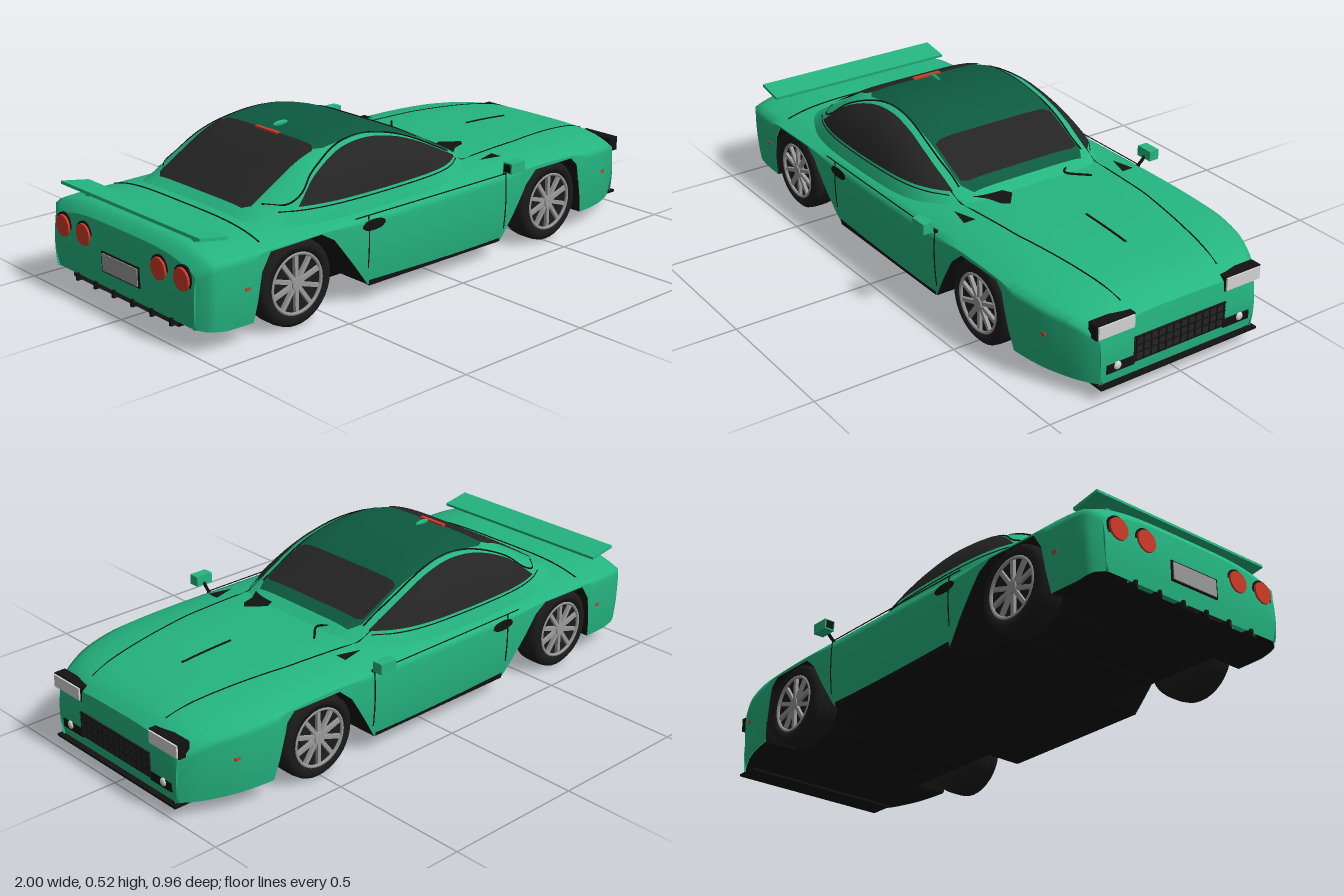
import * as THREE from 'three';

const mat = (name, color) => {
  const m = new THREE.MeshStandardMaterial({ color, side: THREE.DoubleSide });
  m.name = name;
  return m;
};

// Interpolates a small table of [x, value] pairs, straight or eased by neighbouring slopes
function table(pts, smooth = true) {
  const slope = (i) => {
    const a = pts[Math.max(i - 1, 0)], b = pts[Math.min(i + 1, pts.length - 1)];
    return (b[1] - a[1]) / (b[0] - a[0]);
  };
  return (x) => {
    let i = 0;
    while (i < pts.length - 2 && x > pts[i + 1][0]) i++;
    const [x0, y0] = pts[i], [x1, y1] = pts[i + 1], d = x1 - x0;
    const t = Math.min(Math.max((x - x0) / d, 0), 1);
    if (!smooth) return y0 + (y1 - y0) * t;
    const t2 = t * t, t3 = t2 * t;
    return (2 * t3 - 3 * t2 + 1) * y0 + (t3 - 2 * t2 + t) * d * slope(i)
      + (3 * t2 - 2 * t3) * y1 + (t3 - t2) * d * slope(i + 1);
  };
}

// Grid surface: fn(u, v) gives a point for u, v in 0..1
function sheet(nu, nv, fn) {
  const pos = [], idx = [];
  for (let i = 0; i <= nu; i++) for (let j = 0; j <= nv; j++) {
    pos.push(...fn(i / nu, j / nv));
    if (i < nu && j < nv) {
      const a = i * (nv + 1) + j, b = a + nv + 1;
      idx.push(a, a + 1, b, b, a + 1, b + 1);
    }
  }
  const g = new THREE.BufferGeometry();
  g.setAttribute('position', new THREE.Float32BufferAttribute(pos, 3));
  g.setIndex(idx);
  g.computeVertexNormals();
  return g;
}

const lerp = THREE.MathUtils.lerp;
const X0 = -0.985, X1 = 0.98;

// Body shape rules: half width, deck height, lower edge with wheel arches
const halfW = table([[X0, 0.37], [-0.97, 0.397], [-0.93, 0.413], [-0.75, 0.42], [0.65, 0.42],
  [0.8, 0.398], [0.9, 0.358], [0.95, 0.33], [X1, 0.305]]);
const deck = table([[X0, 0.29], [-0.97, 0.315], [-0.92, 0.325], [-0.7, 0.326], [0.25, 0.335],
  [0.5, 0.335], [0.7, 0.325], [0.86, 0.305], [0.94, 0.28], [X1, 0.25]]);
const edgePts = [[X0, 0.075], [-0.9, 0.06], [-0.8, 0.06], [-0.775, 0.22], [-0.74, 0.275], [-0.54, 0.28],
  [-0.49, 0.25], [-0.34, 0.06], [0.27, 0.055], [0.38, 0.235], [0.43, 0.278], [0.615, 0.278],
  [0.645, 0.25], [0.69, 0.06], [0.9, 0.05], [X1, 0.05]];
const edge = table(edgePts, false);
const sideZ = (x, y) => halfW(x) * (1 - 0.04 * ((y - 0.22) / 0.18) ** 2);
const topY = (x, z) => deck(x) - 0.045 * Math.abs(z / halfW(x)) ** 4;

// Stations along the body, including every arch corner
const stations = [...new Set([...Array.from({ length: 91 }, (_, i) => lerp(X0, X1, i / 90)),
  ...edgePts.map((p) => p[0])])].sort((a, b) => a - b);
const NS = stations.length - 1;
const stationAt = (u) => stations[Math.round(u * NS)];

// Body section: up one side, over the deck and down the other
function section(x, v) {
  const s = v * 2 - 1, a = Math.abs(s), sg = Math.sign(s), ys = deck(x) - 0.045;
  if (a > 0.6) {
    const y = lerp(ys, edge(x), (a - 0.6) / 0.4);
    return [x, y, sg * sideZ(x, y)];
  }
  const f = a / 0.6;
  return [x, deck(x) - 0.045 * f ** 4, sg * f * sideZ(x, ys)];
}

// Cabin shape rules
const BASE = 0.3;
const roof = table([[-0.72, 0.322], [-0.66, 0.36], [-0.58, 0.408], [-0.47, 0.468], [-0.36, 0.496],
  [-0.22, 0.507], [-0.1, 0.489], [0, 0.455], [0.13, 0.39], [0.25, 0.335]]);
const cabinW = table([[-0.72, 0.31], [-0.65, 0.335], [-0.55, 0.367], [-0.4, 0.387], [-0.1, 0.387],
  [0.05, 0.375], [0.15, 0.345], [0.25, 0.29]]);
const cabinY = (x, z) => BASE + (roof(x) - BASE) * (1 - Math.abs(z / cabinW(x)) ** 6);
const cabinZ = (x, y) => cabinW(x) * Math.max(0, 1 - (y - BASE) / (roof(x) - BASE)) ** (1 / 6);
const glassTop = table([[-0.56, 0.351], [-0.47, 0.425], [-0.35, 0.474], [-0.22, 0.488], [-0.1, 0.469],
  [0, 0.434], [0.1, 0.386], [0.17, 0.351]]);

export function createModel() {
  const car = new THREE.Group();
  car.name = 'car';
  const green = mat('body green', 0x25b581), darkGreen = mat('roof dark green', 0x0d5a40);
  const black = mat('trim black', 0x121212), glass = mat('glass charcoal', 0x242424);
  const rubber = mat('tyre black', 0x1b1b1b), silver = mat('wheel silver', 0x9a9a9a);
  const lens = mat('lamp white', 0xd4d4d4), red = mat('lamp red', 0xd03a28);

  const add = (name, geo, m, x = 0, y = 0, z = 0, parent = car) => {
    const mesh = new THREE.Mesh(geo, m);
    mesh.name = name;
    mesh.position.set(x, y, z);
    parent.add(mesh);
    return mesh;
  };
  const box = (name, m, w, h, d, x, y, z) => add(name, new THREE.BoxGeometry(w, h, d), m, x, y, z);
  const seam = (name, pts, r = 0.003) => add(name, new THREE.TubeGeometry(
    new THREE.CatmullRomCurve3(pts.map((p) => new THREE.Vector3(...p))), pts.length * 4, r, 5), black);

  // Painted shell and its two end faces
  add('bodyShell', sheet(NS, 50, (u, v) => section(stationAt(u), v)), green);
  for (const [name, x] of [['noseFace', X1], ['tailFace', X0]]) {
    add(name, sheet(6, 50, (u, v) => {
      const p = section(x, v);
      return [x + Math.sign(x) * 0.008 * Math.sin(u * Math.PI), lerp(p[1], edge(x), u), p[2]];
    }), green);
  }

  // Underbody with wheel wells, stepped in section
  add('underbody', sheet(NS, 5, (u, v) => {
    const x = stationAt(u), j = Math.round(v * 5), e = edge(x), low = Math.min(e, 0.06);
    const inner = Math.min(0.28, halfW(x) * 0.9), outer = sideZ(x, e) - 0.002;
    return [x, j === 2 || j === 3 ? low : e, [-outer, -inner, -inner, inner, inner, outer][j]];
  }), black);

  // Cabin, roof panel and windows
  add('cabin', sheet(50, 48, (u, v) => {
    const x = lerp(-0.72, 0.25, u), s = v * 2 - 1, f = Math.sign(s) * (1 - (1 - Math.abs(s)) ** 2);
    const z = f * cabinW(x);
    return [x, cabinY(x, z), z];
  }), green);
  const panel = (name, m, x0, x1, w, lift) => add(name, sheet(16, 20, (u, v) => {
    const x = lerp(x0, x1, u);
    const corner = Math.max(0, Math.abs(u - 0.5) - 0.42) / 0.08;
    const z = (v * 2 - 1) * (w - 0.025 * corner * corner);
    return [x, cabinY(x, z) + lift, z];
  }), m);
  panel('roofPanel', darkGreen, -0.42, 0.21, 0.245, 0.003);
  panel('windscreen', glass, 0, 0.17, 0.237, 0.007);
  panel('rearWindow', glass, -0.685, -0.4, 0.237, 0.006);
  box('highBrakeLight', red, 0.014, 0.01, 0.11, -0.405, roof(-0.405) + 0.006, 0);
  const fin = add('antenna', new THREE.SphereGeometry(0.02, 12, 8), green, -0.35, 0.506, 0);
  fin.scale.set(1.6, 0.5, 0.3);

  for (const s of [1, -1]) {
    const side = s > 0 ? 'left' : 'right';
    add(side + 'SideGlass', sheet(32, 12, (u, v) => {
      const x = lerp(-0.56, 0.17, u), y = lerp(0.35, glassTop(x), v);
      return [x, y + 0.003, s * (cabinZ(x, y) + 0.004)];
    }), glass);
    // Panel gaps around cabin, hood and doors
    const along = (x0, x1, n, fn) => Array.from({ length: n }, (_, i) => fn(lerp(x0, x1, i / (n - 1))));
    seam(side + 'RoofSeam', along(-0.64, 0.17, 16, (x) => {
      const y = Math.min(Math.max(glassTop(x) + 0.008, 0.345), roof(x) - 0.004);
      return [x, y + 0.001, s * cabinZ(x, y)];
    }));
    seam(side + 'CabinSeam', along(-0.62, 0.17, 14, (x) => [x, 0.342, s * (cabinZ(x, 0.342) + 0.001)]), 0.002);
    seam(side + 'HoodSeam', along(0, 0.93, 14, (x) => {
      const z = s * (x < 0.5 ? lerp(0.29, 0.255, x / 0.5) : lerp(0.255, 0.19, (x - 0.5) / 0.43));
      return [x, Math.max(topY(x, z), x < 0.2 ? cabinY(x, z) : 0), z];
    }), 0.0025);
    for (const [x, lo, hi] of [[-0.345, 0.12, 0.295], [0.28, 0.1, 0.3]]) {
      seam(side + 'DoorGap', along(lo, hi, 5, (y) => [x, y, s * sideZ(x, y)]), 0.0025);
    }
    seam(side + 'DoorTopGap', along(-0.4, 0.28, 6, (x) => [x, 0.296, s * sideZ(x, 0.296)]), 0.002);
    const handle = add(side + 'DoorHandle', new THREE.SphereGeometry(1, 16, 8), black, -0.32, 0.258, s * 0.418);
    handle.scale.set(0.068, 0.025, 0.005);
    box(side + 'Sill', black, 0.6, 0.025, 0.012, -0.035, 0.068, s * 0.405);
    for (const x of [0.82, -0.83]) box(side + 'Marker', red, 0.018, 0.01, 0.006, x, 0.18, s * halfW(x) * 0.998);

    // Hood vents
    const vent = new THREE.Shape([[0.25, 0.325], [0.335, 0.3], [0.335, 0.345]].map((p) => new THREE.Vector2(...p)));
    const ventMesh = add(side + 'HoodVent', new THREE.ShapeGeometry(vent), black, 0, topY(0.3, 0.31) + 0.006, 0);
    ventMesh.rotation.x = s * Math.PI / 2;

    // Door mirrors
    seam(side + 'MirrorStalk', [[0.28, 0.295, s * 0.412], [0.28, 0.31, s * 0.43], [0.275, 0.325, s * 0.45]], 0.006);
    box(side + 'MirrorHousing', green, 0.065, 0.036, 0.038, 0.275, 0.332, s * 0.461);
    box(side + 'MirrorFace', black, 0.004, 0.026, 0.028, 0.241, 0.332, s * 0.461);

    // Front lamps
    box(side + 'HeadlightFrame', black, 0.04, 0.05, 0.145, 0.965, 0.237, s * 0.25);
    box(side + 'Headlight', lens, 0.04, 0.042, 0.136, 0.971, 0.237, s * 0.25);
    box(side + 'FogRecess', black, 0.03, 0.03, 0.105, 0.975, 0.1, s * 0.23);
    const fog = add(side + 'FogLamp', new THREE.SphereGeometry(0.014, 12, 8), lens, 0.99, 0.105, s * 0.243);
    fog.scale.x = 0.5;

    // Twin round tail lamps
    for (const z of [0.2, 0.315]) {
      const rim = add(side + 'TailLampRim', new THREE.CylinderGeometry(0.044, 0.044, 0.014, 24), black, -0.984, 0.225, s * z);
      const lamp = add(side + 'TailLamp', new THREE.CylinderGeometry(0.036, 0.039, 0.02, 24), red, -0.988, 0.225, s * z);
      rim.rotation.z = lamp.rotation.z = Math.PI / 2;
    }

    // Wheels
    for (const [end, x] of [['Front', 0.51], ['Rear', -0.635]]) {
      const wheel = new THREE.Group();
      wheel.name = side + end + 'Wheel';
      wheel.position.set(x, 0.143, s * 0.365);
      if (s < 0) wheel.rotation.y = Math.PI;
      car.add(wheel);
      const profile = [[0.02, -0.052], [0.125, -0.052], [0.14, -0.04], [0.143, -0.02], [0.136, -0.018], [0.136, -0.012],
        [0.143, -0.01], [0.143, 0.01], [0.136, 0.012], [0.136, 0.018], [0.143, 0.02], [0.14, 0.04],
        [0.125, 0.053], [0.102, 0.05], [0.098, 0.025], [0, 0.025]].map((p) => new THREE.Vector2(...p));
      add('tyre', new THREE.LatheGeometry(profile, 36).rotateX(Math.PI / 2), rubber, 0, 0, 0, wheel);
      add('rim', new THREE.TorusGeometry(0.097, 0.006, 6, 36), silver, 0, 0, 0.047, wheel);
      add('hub', new THREE.CylinderGeometry(0.02, 0.024, 0.02, 16).rotateX(Math.PI / 2), silver, 0, 0, 0.042, wheel);
      for (let i = 0; i < 10; i++) {
        const spoke = add('spoke', new THREE.BoxGeometry(0.013, 0.08, 0.012).translate(0, 0.056, 0), silver, 0, 0, 0.042, wheel);
        spoke.rotation.z = i * Math.PI / 5;
      }
    }
  }

  // Grille with bars, and front splitter
  box('grille', glass, 0.03, 0.085, 0.36, 0.976, 0.137, 0);
  for (let i = 0; i < 13; i++) box('grilleBar', black, 0.006, 0.085, 0.004, 0.991, 0.137, -0.174 + i * 0.029);
  for (const y of [0.097, 0.124, 0.15, 0.177]) box('grilleSlat', black, 0.006, 0.004, 0.36, 0.991, y, 0);
  box('splitter', black, 0.09, 0.008, 0.62, 0.955, 0.046, 0);

  // Hood crease, boot gap and wipers
  seam('hoodCrease', [0.52, 0.62, 0.72].map((x) => [x, topY(x, 0) + 0.001, 0]), 0.004);
  seam('bootGap', Array.from({ length: 13 }, (_, i) => (i - 6) * 0.063).map((z) => [-0.75, topY(-0.75, z), z]));
  seam('wiper', [[0.22, 0.342, -0.15], [0.25, 0.342, -0.12], [0.32, 0.342, -0.18]], 0.004);
  const cowl = new THREE.Shape([[0.17, 0.27], [0.23, 0.13], [0.27, 0.11], [0.33, 0.16], [0.31, 0.185], [0.26, 0.2]]
    .map((p) => new THREE.Vector2(...p)));
  add('cowlVent', new THREE.ShapeGeometry(cowl), black, 0, 0.341, 0).rotation.x = Math.PI / 2;

  // Rear wing, plate and lower fins
  const wing = box('rearWing', green, 0.105, 0.01, 0.73, -0.91, 0.342, 0);
  wing.rotation.z = -0.17;
  for (const z of [-0.28, 0.28]) box('wingSupport', green, 0.04, 0.03, 0.02, -0.9, 0.325, z);
  box('plateFrame', black, 0.012, 0.068, 0.2, -0.99, 0.165, 0);
  box('numberPlate', silver, 0.012, 0.058, 0.186, -0.993, 0.165, 0);
  for (let i = 0; i < 6; i++) box('rearFin', black, 0.04, 0.025, 0.01, -0.975, 0.068, -0.25 + i * 0.1);
  return car;
}
